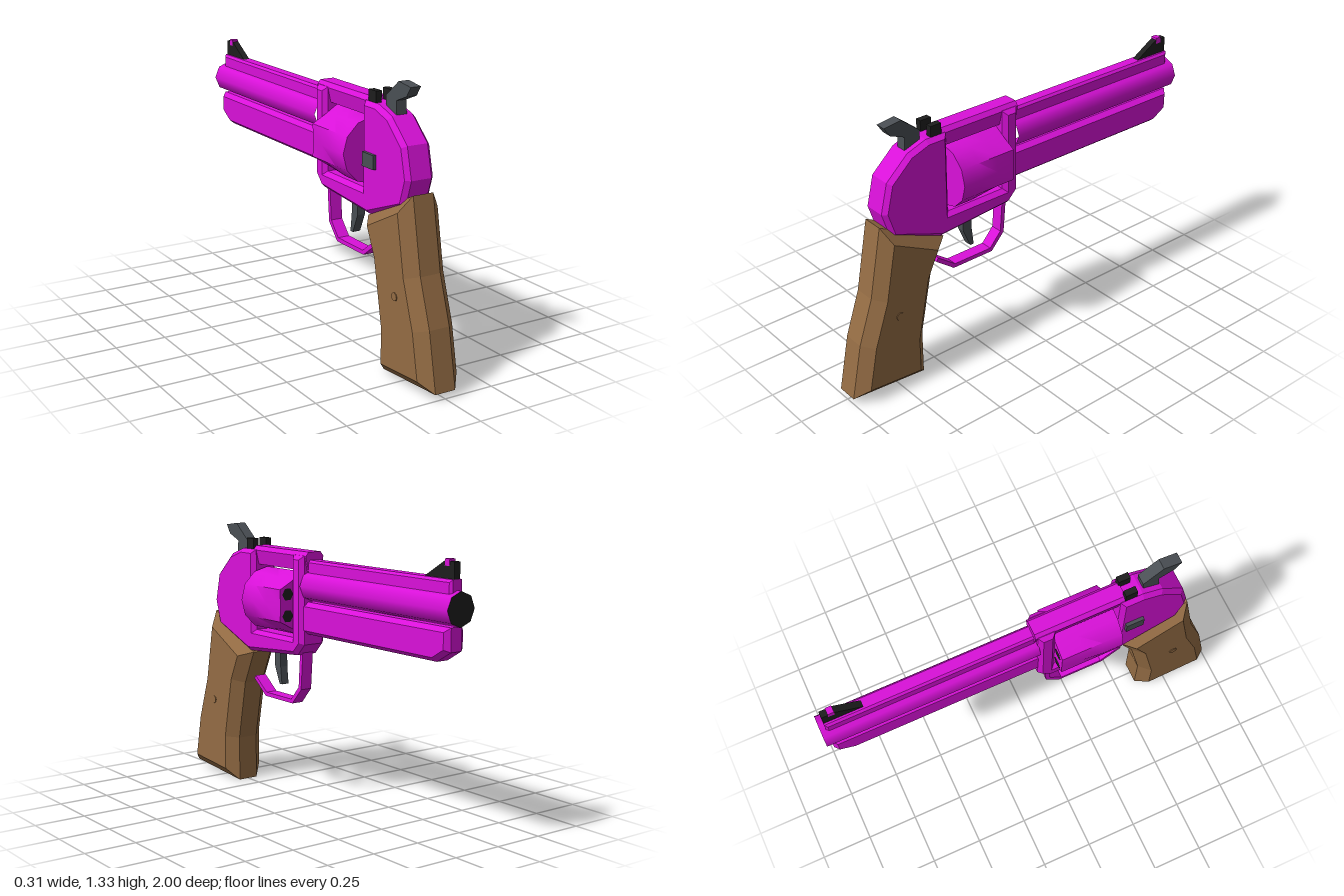
import * as THREE from 'three';
import { toCreasedNormals } from 'three/addons/utils/BufferGeometryUtils.js';

const paint = (name, color) => {
  const m = new THREE.MeshStandardMaterial({ color });
  m.name = name;
  return m;
};

// Move every side of a counter-clockwise outline inwards by d
function inset(points, d) {
  const n = points.length;
  return points.map((p, i) => {
    const a = p.clone().sub(points[(i + n - 1) % n]).normalize();
    const b = points[(i + 1) % n].clone().sub(p).normalize();
    const n1 = new THREE.Vector2(-a.y, a.x), n2 = new THREE.Vector2(-b.y, b.x);
    const k = d / (1 + n1.dot(n2));
    return p.clone().addScaledVector(n1.add(n2), k);
  });
}

// Slab from a side outline of [z, y] points; the edges may be chamfered
function slab(outline, half, bevel = 0, edgeHalf = half) {
  let outer = outline.map(([z, y]) => new THREE.Vector2(z, y));
  if (THREE.ShapeUtils.isClockWise(outer)) outer = outer.reverse();
  const inner = bevel ? inset(outer, bevel) : outer;
  const rings = bevel
    ? [[-half, inner], [-edgeHalf, outer], [edgeHalf, outer], [half, inner]]
    : [[-half, outer], [half, outer]];
  const pos = [];
  const put = (r, i) => pos.push(rings[r][0], rings[r][1][i].y, rings[r][1][i].x);
  const n = outer.length, last = rings.length - 1;
  for (let r = 0; r < last; r++) {
    for (let i = 0; i < n; i++) {
      const j = (i + 1) % n;
      put(r, i); put(r + 1, j); put(r, j);
      put(r, i); put(r + 1, i); put(r + 1, j);
    }
  }
  for (const [a, b, c] of THREE.ShapeUtils.triangulateShape(inner, [])) {
    put(0, a); put(0, b); put(0, c);
    put(last, a); put(last, c); put(last, b);
  }
  const g = new THREE.BufferGeometry();
  g.setAttribute('position', new THREE.Float32BufferAttribute(pos, 3));
  g.computeVertexNormals();
  return g;
}

export function createModel() {
  const model = new THREE.Group();
  const magenta = paint('magenta', 0xd911d9);
  const wood = paint('brown wood', 0x946c44);
  const black = paint('black', 0x1e1e1e);
  const steel = paint('grey steel', 0x4a4f54);

  const add = (name, geometry, material, x = 0, y = 0, z = 0) => {
    const mesh = new THREE.Mesh(geometry, material);
    mesh.name = name;
    mesh.position.set(x, y, z);
    model.add(mesh);
    return mesh;
  };

  // Grip with wide chamfers and a small screw on each side
  add('grip', slab([[0.805, 0.875], [0.87, 0.53], [0.945, 0.31], [1, 0.035], [0.6, 0.005],
    [0.6, 0.23], [0.54, 0.53], [0.46, 0.7]], 0.105, 0.053, 0.052), wood);
  for (const s of [-1, 1]) {
    add('gripScrew', new THREE.CylinderGeometry(0.02, 0.02, 0.01, 8).rotateZ(Math.PI / 2),
      wood, s * 0.104, 0.415, 0.755);
  }

  // Frame, open at the top where the strap bridges it
  add('frame', slab([[0.43, 1.22], [0.54, 1.22], [0.64, 1.185], [0.755, 1.08], [0.79, 0.935],
    [0.75, 0.81], [0.48, 0.708], [0.08, 0.738], [0.025, 0.795], [0.025, 1.22],
    [0.11, 1.22], [0.11, 0.82], [0.43, 0.82]], 0.073, 0.02, 0.052), magenta);

  // Top strap, tapering downwards
  const strap = new THREE.Shape([[-0.035, 1.238], [-0.052, 1.217], [-0.036, 1.147],
    [0.036, 1.147], [0.052, 1.217], [0.035, 1.238]].map(p => new THREE.Vector2(...p)));
  add('topStrap', new THREE.ExtrudeGeometry(strap, { depth: 0.445, bevelEnabled: false }),
    magenta, 0, 0, 0.015);

  // Drum: every second edge is hollowed towards the muzzle
  const drum = new THREE.CylinderGeometry(0.155, 0.155, 0.3, 12, 3).rotateX(Math.PI / 2);
  const p = drum.attributes.position;
  for (let i = 0; i < p.count; i++) {
    const step = Math.round(Math.atan2(p.getY(i), p.getX(i)) / (Math.PI / 6));
    if (step % 2 !== 0 || p.getZ(i) > 0) continue;
    const k = p.getZ(i) < -0.1 ? 0.85 : 0.94;
    p.setXY(i, p.getX(i) * k, p.getY(i) * k);
  }
  add('drum', toCreasedNormals(drum, 0.6), magenta, 0, 0.98, 0.26);
  for (let i = 0; i < 6; i++) {
    const a = Math.PI / 6 + i * Math.PI / 3;
    add('chamber', new THREE.CircleGeometry(0.032, 6).rotateY(Math.PI), black,
      0.105 * Math.cos(a), 0.98 + 0.105 * Math.sin(a), 0.107);
  }

  // Barrel with muzzle face, top rib and underlug
  add('barrel', new THREE.CylinderGeometry(0.077, 0.077, 1.03, 8, 1, true).rotateX(Math.PI / 2),
    magenta, 0, 1.077, -0.485);
  add('muzzle', new THREE.CircleGeometry(0.077, 8).rotateY(Math.PI), black, 0, 1.077, -1);
  add('topRib', slab([[0.03, 1.1], [-0.975, 1.1], [-0.975, 1.2], [0.03, 1.2]],
    0.035, 0.012, 0.025), magenta);
  add('underlug', slab([[0.06, 0.845], [-0.89, 0.845], [-0.975, 0.895], [-0.975, 1.0],
    [0.06, 1.0]], 0.055, 0.02, 0.03), magenta);

  // Sights
  add('frontSight', slab([[-0.78, 1.195], [-0.91, 1.273], [-0.973, 1.273], [-0.973, 1.195]],
    0.016), black);
  add('frontSightBead', new THREE.BoxGeometry(0.033, 0.03, 0.03), magenta, 0, 1.268, -0.928);
  for (const s of [-1, 1]) {
    add('rearSight', new THREE.BoxGeometry(0.03, 0.055, 0.058), black, s * 0.037, 1.245, 0.482);
  }

  // Hammer, trigger, latch and guard
  add('hammer', slab([[0.735, 1.325], [0.645, 1.337], [0.55, 1.26], [0.555, 1.19],
    [0.635, 1.18], [0.63, 1.25], [0.705, 1.28]], 0.026), steel);
  add('trigger', slab([[0.32, 0.74], [0.32, 0.655], [0.28, 0.563], [0.26, 0.563],
    [0.27, 0.65], [0.27, 0.74]], 0.02), steel);
  add('latch', new THREE.BoxGeometry(0.025, 0.065, 0.09), steel, -0.077, 0.965, 0.505);
  add('triggerGuard', slab([[0.07, 0.75], [0.085, 0.565], [0.158, 0.485], [0.388, 0.485],
    [0.488, 0.56], [0.476, 0.576], [0.38, 0.505], [0.168, 0.505], [0.105, 0.575],
    [0.092, 0.75]], 0.03), magenta);

  return model;
}
